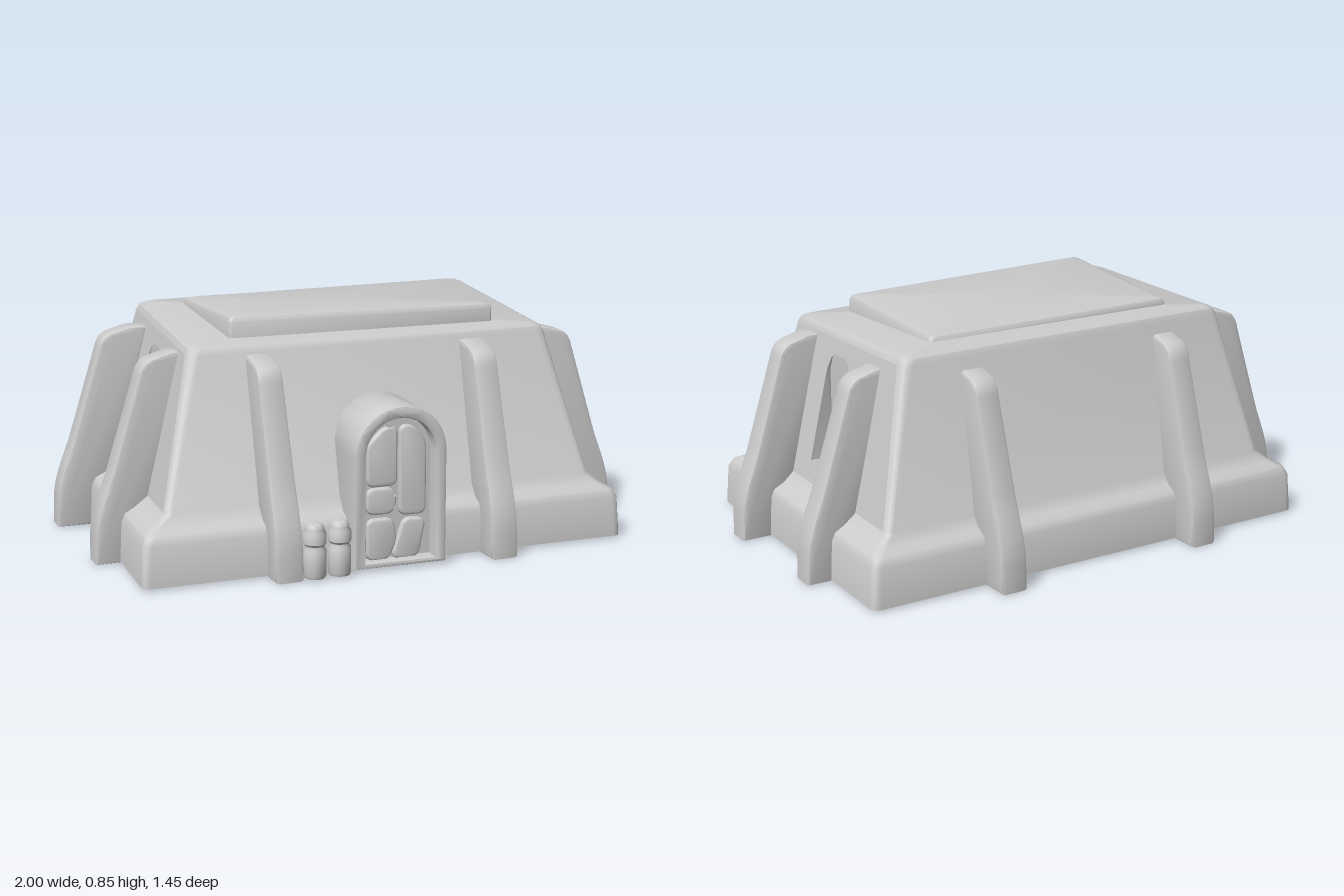
import * as THREE from 'three';
import { toCreasedNormals } from 'three/addons/utils/BufferGeometryUtils.js';

const MAT = new THREE.MeshStandardMaterial({ color: 0xcccccc, side: THREE.DoubleSide });
const N = 5; // points per rounded corner

function add(parent, name, geometry, crease = 0.6) {
  const mesh = new THREE.Mesh(toCreasedNormals(geometry, crease), MAT);
  mesh.name = name;
  parent.add(mesh);
  return mesh;
}

// Ring of points around a four-cornered outline with rounded corners.
// quad: [x, z] for back-right-hand order; ys: height per corner.
function ring(quad, ys, inset, radius) {
  const c = quad.map(([x, z], i) => new THREE.Vector3(
    x - Math.sign(x) * inset, ys[i], z - Math.sign(z) * inset));
  const pts = [];
  c.forEach((p, i) => {
    const toward = (q) => p.clone().add(q.clone().sub(p).setLength(radius));
    const curve = new THREE.QuadraticBezierCurve3(toward(c[(i + 3) % 4]), p, toward(c[(i + 1) % 4]));
    pts.push(...curve.getPoints(N - 1));
  });
  return pts;
}

// Skin a stack of rings, closing the last one; skip(level, i) leaves a gap.
function loft(rings, skip = () => false) {
  const pos = [];
  const tri = (...v) => v.forEach((p) => pos.push(p.x, p.y, p.z));
  const count = rings[0].length;
  for (let l = 0; l < rings.length - 1; l++) {
    for (let i = 0; i < count; i++) {
      if (skip(l, i)) continue;
      const j = (i + 1) % count, lo = rings[l], hi = rings[l + 1];
      tri(lo[i], hi[i], lo[j]);
      tri(lo[j], hi[i], hi[j]);
    }
  }
  const last = rings[rings.length - 1];
  const mid = last.reduce((s, p) => s.add(p), new THREE.Vector3()).divideScalar(count);
  last.forEach((p, i) => tri(p, mid, last[(i + 1) % count]));
  return new THREE.BufferGeometry().setAttribute('position', new THREE.Float32BufferAttribute(pos, 3));
}

// Wall panel with a window hole, plus the recess and its upright pane.
function windowWall(parent, name, corners, zMid, paneX) {
  const [a, b, c, d] = corners; // bottom start, bottom end, top end, top start
  const at = (u, v) => a.clone().lerp(b, u).lerp(d.clone().lerp(c, u), v);
  const outline = [[-0.085, 0.31], [-0.055, 0.27], [0.055, 0.27], [0.085, 0.31],
    [0.085, 0.64], [0.065, 0.69], [0.035, 0.705], [-0.035, 0.705], [-0.065, 0.69], [-0.085, 0.64]];
  const uv = outline.map(([dz, y]) => {
    let u = 0.5, v = 0.5;
    for (let k = 0; k < 5; k++) {
      const y0 = at(u, 0).y, z0 = at(0, v).z;
      v = (y - y0) / (at(u, 1).y - y0);
      u = (zMid + dz - z0) / (at(1, v).z - z0);
    }
    return new THREE.Vector2(u, v);
  });
  const shape = new THREE.Shape([[0, 0], [1, 0], [1, 1], [0, 1]].map((p) => new THREE.Vector2(...p)));
  shape.holes.push(new THREE.Path(uv));
  const wall = new THREE.ShapeGeometry(shape);
  const p = wall.attributes.position;
  for (let i = 0; i < p.count; i++) p.setXYZ(i, ...at(p.getX(i), p.getY(i)).toArray());
  add(parent, name + 'Wall', wall);

  const edge = uv.map((q) => at(q.x, q.y));
  const inner = edge.map((q) => new THREE.Vector3(paneX, q.y, q.z));
  add(parent, name + 'Window', loft([edge, inner]), 0.5);
}

// Buttress profile: x is the distance from its outermost point, y is height.
function buttress(parent, name, x, z, angle) {
  const s = new THREE.Shape();
  s.moveTo(-0.16, 0.012);
  s.lineTo(-0.012, 0.012);
  s.lineTo(-0.014, 0.1);
  s.bezierCurveTo(-0.02, 0.19, -0.065, 0.27, -0.085, 0.34);
  s.lineTo(-0.18, 0.65);
  s.quadraticCurveTo(-0.19, 0.7, -0.225, 0.708);
  s.lineTo(-0.29, 0.726);
  s.lineTo(-0.34, 0.726);
  s.lineTo(-0.2, 0.22);
  const w = 0.076;
  const g = new THREE.ExtrudeGeometry(s, {
    depth: w, bevelThickness: 0.012, bevelSize: 0.012, bevelSegments: 2, curveSegments: 6 });
  g.translate(0, 0, -w / 2);
  const p = g.attributes.position;
  for (let i = 0; i < p.count; i++) p.setZ(i, p.getZ(i) * (1.04 - 0.18 * p.getY(i)));
  const mesh = add(parent, name, g, 0.7);
  mesh.position.set(x, 0, z);
  mesh.rotation.y = angle;
}

function arch(r, spring, bottom, Type = THREE.Shape) {
  const s = new Type();
  s.moveTo(-r, bottom);
  s.lineTo(r, bottom);
  s.lineTo(r, spring);
  s.absarc(0, spring, r, 0, Math.PI, false);
  s.lineTo(-r, bottom);
  return s;
}

// Polygon with softened corners
function softPolygon(points, r = 0.022) {
  const v = points.map((p) => new THREE.Vector2(...p)), n = v.length, s = new THREE.Shape();
  v.forEach((p, i) => {
    const near = (q) => p.clone().add(q.clone().sub(p).setLength(r));
    const from = near(v[(i + n - 1) % n]), to = near(v[(i + 1) % n]);
    if (i) s.lineTo(from.x, from.y); else s.moveTo(from.x, from.y);
    s.quadraticCurveTo(p.x, p.y, to.x, to.y);
  });
  s.closePath();
  return s;
}

export function createModel() {
  const model = new THREE.Group();
  model.name = 'hut';

  // Body: plinth, sloping walls and roof, slightly askew
  const base = [[-0.855, -0.65], [0.93, -0.57], [0.865, 0.65], [-0.94, 0.59]];
  const foot = [[-0.755, -0.56], [0.825, -0.49], [0.77, 0.565], [-0.83, 0.505]];
  const top = [[-0.63, -0.455], [0.70, -0.40], [0.655, 0.43], [-0.695, 0.37]];
  const flat = (y) => [y, y, y, y];
  const roofY = [0.8, 0.81, 0.772, 0.775];
  const rings = [
    ring(base, flat(0.008), 0, 0.03),
    ring(base, flat(0.15), 0.008, 0.03),
    ring(base, flat(0.18), 0.022, 0.03),
    ring(base, flat(0.197), 0.055, 0.03),
    ring(foot, flat(0.235), 0, 0.03),
    ring(top, roofY.map((y) => y - 0.03), 0, 0.04),
    ring(top, roofY.map((y) => y - 0.01), 0.01, 0.04),
    ring(top, roofY, 0.035, 0.03),
  ];
  add(model, 'body', loft(rings, (l, i) => l === 4 && (i === 2 * N - 1 || i === 4 * N - 1)), 0.7);

  // Side walls with recessed windows
  const [lo, hi] = [rings[4], rings[5]];
  windowWall(model, 'left', [lo[2 * N], lo[2 * N - 1], hi[2 * N - 1], hi[2 * N]], 0.035, 0.685);
  windowWall(model, 'right', [lo[0], lo[4 * N - 1], hi[4 * N - 1], hi[0]], -0.04, -0.675);

  // Raised roof slab
  const slab = [[-0.48, -0.33], [0.51, -0.275], [0.49, 0.325], [-0.51, 0.275]];
  const slabY = [0.825, 0.825, 0.842, 0.855];
  add(model, 'roofSlab', loft([
    ring(slab, flat(0.75), 0, 0.02),
    ring(slab, slabY.map((y) => y - 0.02), 0, 0.02),
    ring(slab, slabY.map((y) => y - 0.006), 0.008, 0.02),
    ring(slab, slabY, 0.03, 0.02),
  ]), 0.7);

  // Buttresses, two on each side
  const q = Math.PI / 2;
  [
    ['frontButtress', -0.445, 0.685, -q], ['frontButtress', 0.355, 0.72, -q],
    ['backButtress', -0.365, -0.725, q - 0.03], ['backButtress', 0.44, -0.69, q - 0.03],
    ['leftButtress', 0.995, -0.195, -0.05], ['leftButtress', 0.99, 0.295, -0.04],
    ['rightButtress', -1, -0.3, Math.PI - 0.05], ['rightButtress', -1, 0.2, Math.PI],
  ].forEach(([name, x, z, a]) => buttress(model, name, x, z, a));

  // Arched porch with a panelled door
  const door = new THREE.Group();
  door.name = 'doorway';
  door.position.set(-0.025, 0, 0.45);
  door.rotation.y = -0.04;
  model.add(door);
  const frame = arch(0.16, 0.412, 0.022);
  frame.holes.push(arch(0.138, 0.412, 0.022, THREE.Path));
  add(door, 'doorFrame', new THREE.ExtrudeGeometry(frame, {
    depth: 0.23, bevelThickness: 0.01, bevelSize: 0.01, bevelSegments: 2, curveSegments: 16 }));
  add(door, 'doorSlab', new THREE.ExtrudeGeometry(arch(0.13, 0.412, 0.012), {
    depth: 0.185, bevelEnabled: false, curveSegments: 16 }));
  const panels = [
    [[-0.105, 0.3], [-0.008, 0.3], [-0.008, 0.5], [-0.05, 0.495], [-0.105, 0.44]],
    [[-0.105, 0.2], [-0.02, 0.2], [-0.008, 0.24], [-0.02, 0.28], [-0.105, 0.28]],
    [[-0.105, 0.035], [-0.035, 0.035], [-0.008, 0.1], [-0.02, 0.17], [-0.105, 0.17]],
    [[0.015, 0.19], [0.1, 0.19], [0.1, 0.44], [0.06, 0.495], [0.015, 0.5]],
    [[-0.012, 0.035], [0.075, 0.035], [0.1, 0.16], [0.03, 0.165]],
  ];
  panels.forEach((pts) => {
    const g = new THREE.ExtrudeGeometry(softPolygon(pts), {
      depth: 0.012, bevelThickness: 0.01, bevelSize: 0.008, bevelSegments: 2, curveSegments: 5 });
    add(door, 'doorPanel', g, 0.8).position.z = 0.183;
  });

  // Pair of canisters beside the door
  const profile = [[0, 0.008], [0.036, 0.008], [0.04, 0.018], [0.04, 0.105], [0.034, 0.116], [0.034, 0.122],
    [0.04, 0.13], [0.04, 0.165], [0.033, 0.178], [0.033, 0.184], [0.026, 0.196], [0.012, 0.203], [0, 0.204]]
    .map((p) => new THREE.Vector2(...p));
  [-0.352, -0.26].forEach((x) => {
    add(model, 'canister', new THREE.LatheGeometry(profile, 20)).position.set(x, 0, 0.675);
  });
  return model;
}
